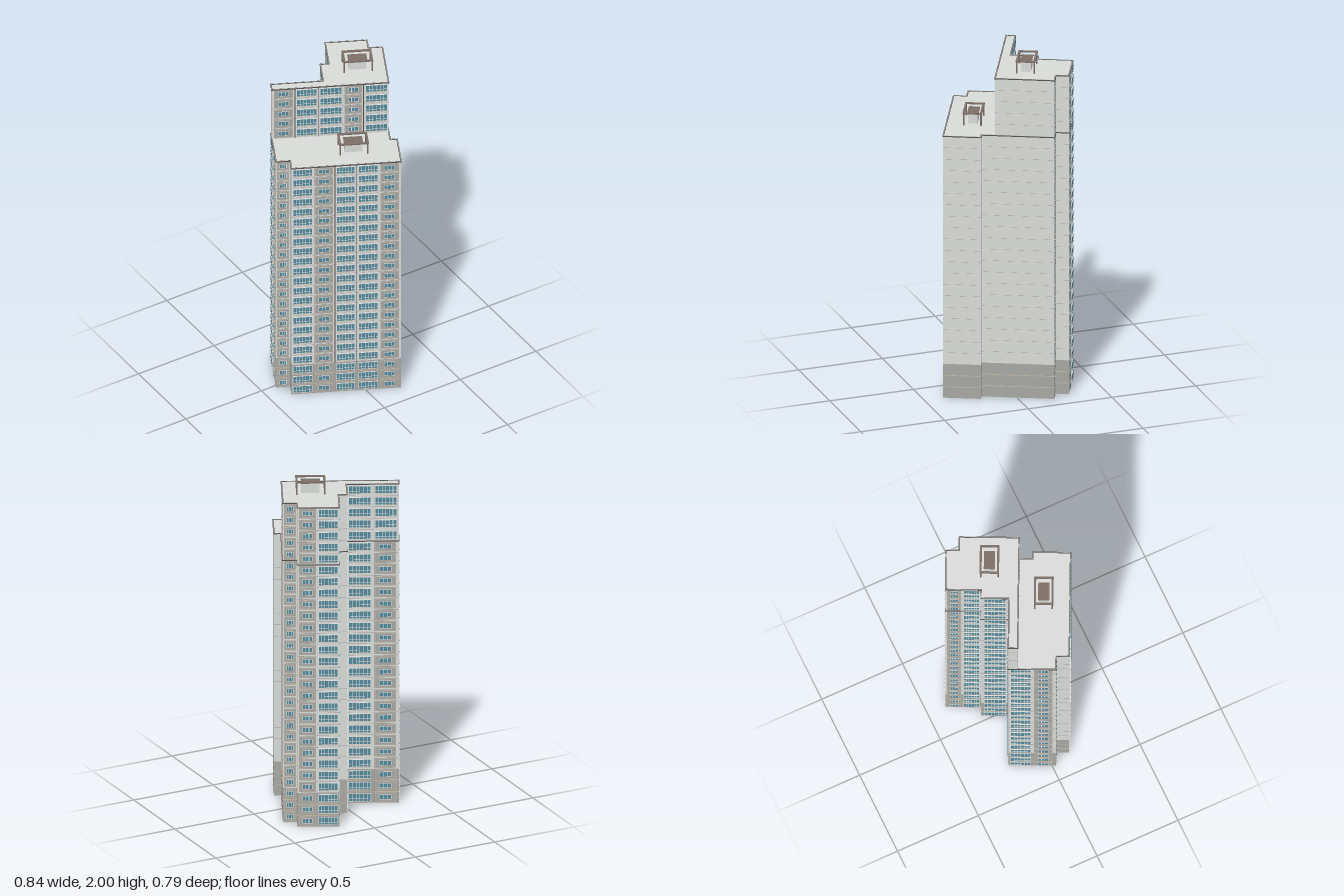
import * as THREE from 'three';
import { mergeGeometries } from 'three/addons/utils/BufferGeometryUtils.js';

const FLOOR = 1.92 / 28, BASE = FLOOR * 3, LOW = FLOOR * 23, TOP = 1.92;

const paint = (name, color) => {
  const m = new THREE.MeshStandardMaterial({ color });
  m.name = name;
  return m;
};

// Footprint corners [x, z], before the tower is turned on its plot
const A = [-0.366, -0.068], B = [-0.071, -0.068], C = [-0.071, -0.225], D = [-0.022, -0.225];
const E = [-0.022, -0.424], F = [0.213, -0.424], G = [0.213, -0.35], H = [0.292, -0.35];
const I = [0.292, -0.016], J = [0.292, 0.06], K = [0.331, 0.06], L = [0.331, 0.272];
const M = [-0.286, 0.272], N = [-0.286, 0.198], O = [-0.366, 0.198], P = [-0.366, -0.016];
const WHOLE = [A, B, C, D, E, F, G, H, I, J, K, L, M, N, O];
const TALL = [A, B, C, D, E, F, G, H, I, P];

export function createModel() {
  const mats = {
    wall: paint('pale grey wall', 0xdadcda),
    grey: paint('mid grey base and panels', 0xa7a7a4),
    trim: paint('dark trim', 0x54504d),
    cream: paint('cream edging', 0xc6b9a4),
    white: paint('white frame', 0xe8eae8),
    glass: paint('blue glass', 0x55889a),
    brown: paint('brown roof frame', 0x7d6f67),
  };
  const model = new THREE.Group();
  const tower = new THREE.Group();
  tower.name = 'tower';
  tower.rotation.y = -0.451;
  model.add(tower);

  // Boxes are gathered by part and merged into one mesh each
  const parts = {};
  const box = (part, mat, w, h, d, x, y, z, matrix) => {
    const geo = new THREE.BoxGeometry(w, h, d).translate(x, y, z);
    if (matrix) geo.applyMatrix4(matrix);
    (parts[part] ??= { mat, list: [] }).list.push(geo);
  };

  // Wall frame: local x runs from a to b as seen from outside, z points outward
  const wallFrame = (a, b) => {
    const dx = b[0] - a[0], dz = b[1] - a[1];
    const matrix = new THREE.Matrix4().makeRotationY(Math.atan2(-dz, dx)).setPosition(a[0], 0, a[1]);
    return { matrix, len: Math.hypot(dx, dz) };
  };

  // Main masses
  const mass = (name, mat, pts, y0, y1) => {
    const shape = new THREE.Shape(pts.map(([x, z]) => new THREE.Vector2(x, -z)));
    const geo = new THREE.ExtrudeGeometry(shape, { depth: y1 - y0, bevelEnabled: false });
    geo.rotateX(-Math.PI / 2).translate(0, y0, 0);
    const mesh = new THREE.Mesh(geo, mat);
    mesh.name = name;
    tower.add(mesh);
  };
  mass('groundSlab', mats.wall, WHOLE, 0, 0.002);
  mass('base', mats.grey, WHOLE, 0.002, BASE);
  mass('mainBody', mats.wall, WHOLE, BASE, LOW);
  mass('upperBody', mats.wall, TALL, LOW, TOP);

  // Cornices with a grey cap, and thin floor joints, around each outline
  const band = (pts, y, h, d, part, mat) => pts.forEach((p, i) => {
    const { matrix, len } = wallFrame(pts[(i + 1) % pts.length], p);
    box(part, mat, len + d, h, d, len / 2, y, 0, matrix);
  });
  for (const [pts, y] of [[WHOLE, LOW], [TALL, TOP]]) {
    band(pts, y, 0.005, 0.008, 'cornices', mats.trim);
    band(pts, y + 0.002, 0.003, 0.003, 'corniceCaps', mats.grey);
  }
  for (let f = 1; f < 28; f++) {
    if (f === 23) continue;
    if (f < 3) band(WHOLE, f * FLOOR, 0.004, 0.002, 'baseJoints', mats.cream);
    else band(f < 23 ? WHOLE : TALL, f * FLOOR, 0.001, 0.002, 'floorJoints', mats.grey);
  }

  // Wide balcony window: white frame, six panes and a thin cream sill
  const wideBay = (x, w, y, m) => {
    const panes = 6, step = (w - 0.003) / panes;
    box('balconyFrames', mats.white, w, 0.046, 0.004, x, y + 0.036, 0.001, m);
    for (let i = 0; i < panes; i++) {
      const px = x + (i - (panes - 1) / 2) * step;
      box('balconyPanes', mats.glass, step - 0.003, 0.041, 0.002, px, y + 0.036, 0.003, m);
    }
    box('balconyRails', mats.white, w, 0.002, 0.002, x, y + 0.029, 0.004, m);
    box('balconySills', mats.cream, w, 0.002, 0.006, x, y + 0.012, 0.002, m);
  };
  // Small window in a grey panel with cream edging
  const smallBay = (x, w, y, m) => {
    const ww = w * 0.56, step = ww / 3;
    box('panelSurrounds', mats.grey, w, 0.06, 0.002, x, y + 0.036, 0.0005, m);
    box('panelEdges', mats.cream, w - 0.004, 0.053, 0.003, x, y + 0.036, 0.0005, m);
    box('panels', mats.grey, w - 0.01, 0.047, 0.003, x, y + 0.036, 0.001, m);
    box('windowFrames', mats.white, ww + 0.003, 0.029, 0.003, x, y + 0.037, 0.002, m);
    for (let i = -1; i < 2; i++)
      box('windowPanes', mats.glass, step - 0.003, 0.024, 0.002, x + i * step, y + 0.037, 0.0035, m);
  };

  // Each facade lists bays as [type, start, end] fractions, and drainpipe positions
  const facade = (a, b, f0, f1, bays, pipes = []) => {
    const { matrix, len } = wallFrame(a, b);
    for (let f = f0; f < f1; f++)
      for (const [type, s, e] of bays)
        (type === 'W' ? wideBay : smallBay)(len * (s + e) / 2, len * (e - s), f * FLOOR, matrix);
    const y0 = Math.max(f0, 3) * FLOOR, y1 = f1 * FLOOR;
    for (const t of pipes)
      box('drainpipes', mats.trim, 0.004, y1 - y0, 0.005, len * t, (y0 + y1) / 2, 0.001, matrix);
  };
  facade(M, L, 0, 23, [['W', 0.01, 0.19], ['S', 0.21, 0.38], ['W', 0.41, 0.58], ['W', 0.61, 0.79], ['S', 0.81, 0.98]], [0.395, 0.595]);
  facade(O, N, 0, 23, [['S', 0.08, 0.92]]);
  facade(A, O, 0, 23, [['W', 0.05, 0.48], ['S', 0.54, 0.93]]);
  facade(P, I, 23, 28, [['S', 0.02, 0.18], ['W', 0.21, 0.385], ['W', 0.41, 0.6], ['S', 0.62, 0.77], ['W', 0.8, 0.99]], [0.197, 0.397, 0.785]);
  facade(B, A, 0, 23, [['W', 0.04, 0.47], ['S', 0.54, 0.94]]);
  facade(B, A, 23, 28, [['W', 0.04, 0.47], ['W', 0.54, 0.96]]);
  facade(C, B, 0, 28, [['W', 0.1, 0.9]]);
  facade(E, D, 0, 28, [['S', 0.04, 0.44], ['W', 0.5, 0.96]]);
  facade(F, E, 0, 28, [['S', 0.04, 0.44], ['W', 0.5, 0.97]]);
  facade(H, G, 0, 28, [['S', 0.08, 0.92]]);

  // Rooftop plant room under an open frame on four posts
  const rooftop = (x, z, y) => {
    const w = 0.168, d = 0.11, t = 0.012, top = y + 0.076;
    box('plantRooms', mats.wall, 0.098, 0.058, 0.054, x, y + 0.029, z);
    box('plantRoofs', mats.brown, 0.107, 0.006, 0.063, x, y + 0.061, z);
    for (const s of [-1, 1]) {
      box('roofFrames', mats.brown, w, 0.008, t, x, top - 0.004, z + s * (d - t) / 2);
      box('roofFrames', mats.brown, t, 0.008, d - 2 * t, x + s * (w - t) / 2, top - 0.004, z);
      for (const r of [-1, 1])
        box('framePosts', mats.brown, 0.008, 0.07, 0.008, x + s * (w - t) / 2, y + 0.035, z + r * (d - t) / 2);
    }
  };
  rooftop(0.133, -0.18, TOP + 0.004);
  rooftop(0.076, 0.125, LOW);

  for (const [name, { mat, list }] of Object.entries(parts)) {
    const mesh = new THREE.Mesh(mergeGeometries(list), mat);
    mesh.name = name;
    tower.add(mesh);
  }
  return model;
}
